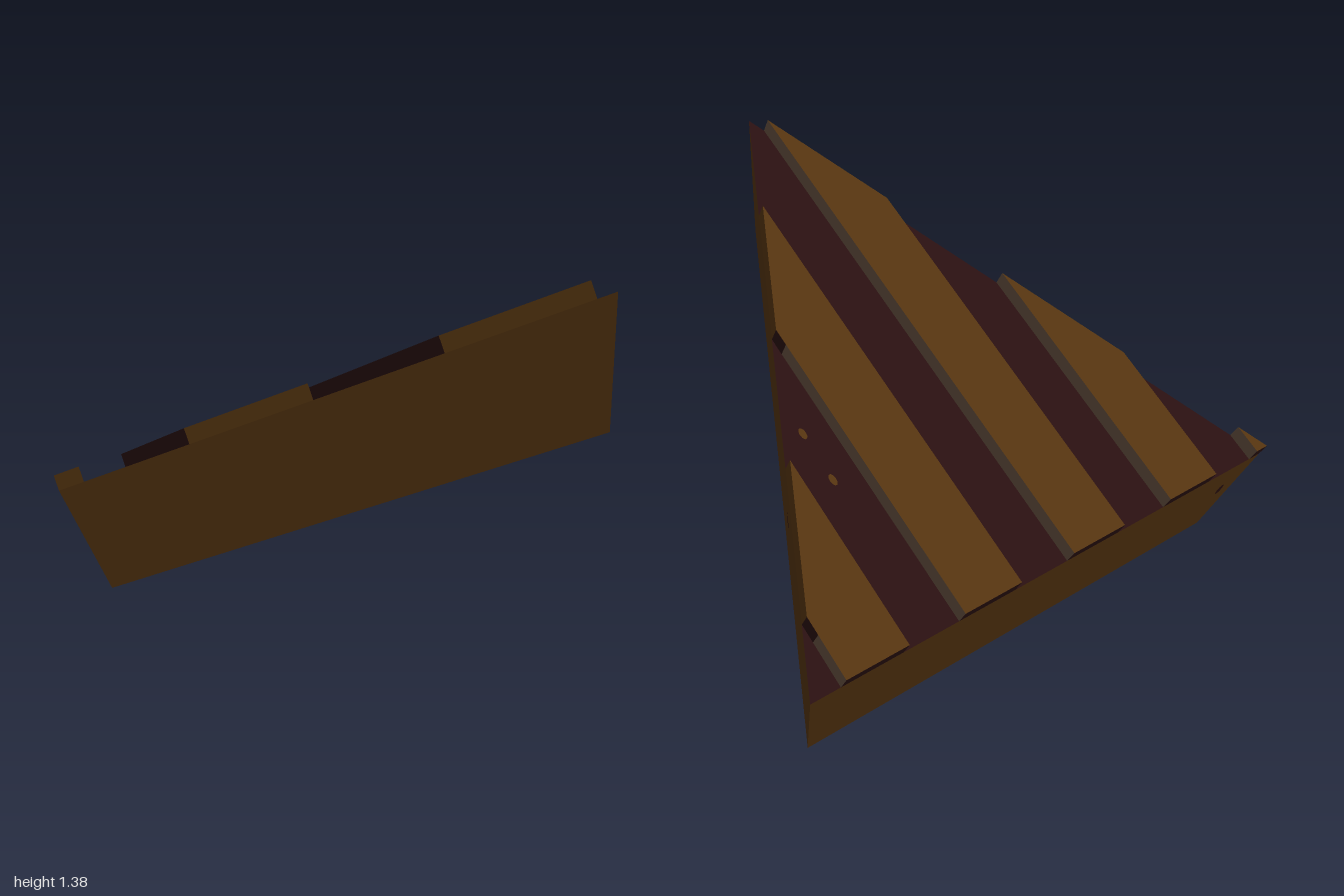
import * as THREE from 'three';

const mat = (name, color) => {
  const m = new THREE.MeshStandardMaterial({ color });
  m.name = name;
  return m;
};

export function createModel() {
  const group = new THREE.Group();
  group.name = 'stripedWedge';
  const brown = mat('brown wood', 0x53330f);
  const maroon = mat('dark maroon', 0x290f10);
  const grey = mat('grey brown', 0x65503f);

  // Flat convex face, corners counter-clockwise from outside
  function face(name, points, material, parent = group) {
    const pos = [];
    for (let i = 1; i < points.length - 1; i++) {
      for (const p of [points[0], points[i], points[i + 1]]) pos.push(...p);
    }
    const geo = new THREE.BufferGeometry();
    geo.setAttribute('position', new THREE.Float32BufferAttribute(pos, 3));
    geo.computeVertexNormals();
    const mesh = new THREE.Mesh(geo, material);
    mesh.name = name;
    parent.add(mesh);
  }

  // Point on the sloping deck, raised h along its normal
  const SLOPE = 0.99 / 1.73;
  const deck = (x, z, h = 0) => [x, 0.37 + SLOPE * (z + 0.85) + h * 0.868, z - h * 0.497];
  const edgeZ = (x) => 0.88 - 1.73 * Math.abs(x);
  const BACK = -0.85;

  // Triangular body
  const apexTop = [0, 1.36, 0.88], apexLow = [0, 0.91, 0.88];
  const cornerTop = (s) => [s, 0.37, BACK];
  const cornerLow = (s) => [s * 0.91, 0, -0.69];
  face('deck', [apexTop, cornerTop(1), cornerTop(-1)], maroon);
  face('leftSide', [apexLow, cornerLow(1), cornerTop(1), apexTop], brown);
  face('rightSide', [apexTop, cornerTop(-1), cornerLow(-1), apexLow], brown);
  face('backSide', [cornerLow(1), cornerLow(-1), cornerTop(-1), cornerTop(1)], brown);

  // Striped underside
  const bands = [0, 0.1, 0.205, 0.31, 0.415, 0.525, 0.635, 0.745, 0.855, 0.91];
  const under = (s, y) => [s * (0.91 - y), y, -0.69 + y * 1.57 / 0.91];
  for (let i = 0; i < bands.length - 1; i++) {
    const a = bands[i], b = bands[i + 1];
    face('undersideStripe', [under(-1, a), under(1, a), under(1, b), under(-1, b)],
      i % 2 ? maroon : brown);
  }

  // Raised slats, trimmed to the triangle
  const H = 0.058;
  for (const [x0, x1] of [[-1, -0.945], [-0.725, -0.49], [-0.265, -0.03], [0.2, 0.435], [0.655, 0.89]]) {
    const slat = new THREE.Group();
    slat.name = 'slat';
    group.add(slat);
    const outline = [[x0, edgeZ(x0)], [x1, edgeZ(x1)], [x1, BACK], [x0, BACK]];
    const wall = (name, a, b, m) =>
      face(name, [deck(...a), deck(...b), deck(...b, H), deck(...a, H)], m, slat);
    face('slatTop', outline.map((p) => deck(...p, H)), brown, slat);
    wall('slatFrontEnd', outline[0], outline[1], brown);
    // Dark tip on the outer flank of the left slats
    const split = [x1, edgeZ(x1) - (x0 > 0 ? 0.055 : 0)];
    if (x0 > 0) wall('slatFlankTip', outline[1], split, maroon);
    wall('slatLeftFlank', split, outline[2], grey);
    wall('slatBackEnd', outline[2], outline[3], maroon);
    if (x0 > -1) wall('slatRightFlank', outline[3], outline[0], x0 > 0 ? grey : maroon);
  }

  // Small knots in the surfaces
  function knot(position, normal, rx, ry, material) {
    const mesh = new THREE.Mesh(new THREE.CircleGeometry(1, 10), material);
    const n = new THREE.Vector3(...normal).normalize();
    mesh.name = 'knot';
    mesh.scale.set(rx, ry, 1);
    mesh.position.set(...position).addScaledVector(n, 0.003);
    mesh.quaternion.setFromUnitVectors(new THREE.Vector3(0, 0, 1), n);
    group.add(mesh);
  }
  knot([0.67, 0.53, -0.28], [1.73, 0, 1], 0.018, 0.032, maroon);
  knot([-0.87, 0.24, -0.794], [0, -0.16, -0.37], 0.015, 0.03, maroon);
  for (const z of [-0.34, -0.18]) knot(deck(0.535, z), [0, 0.868, -0.497], 0.012, 0.022, brown);

  return group;
}
